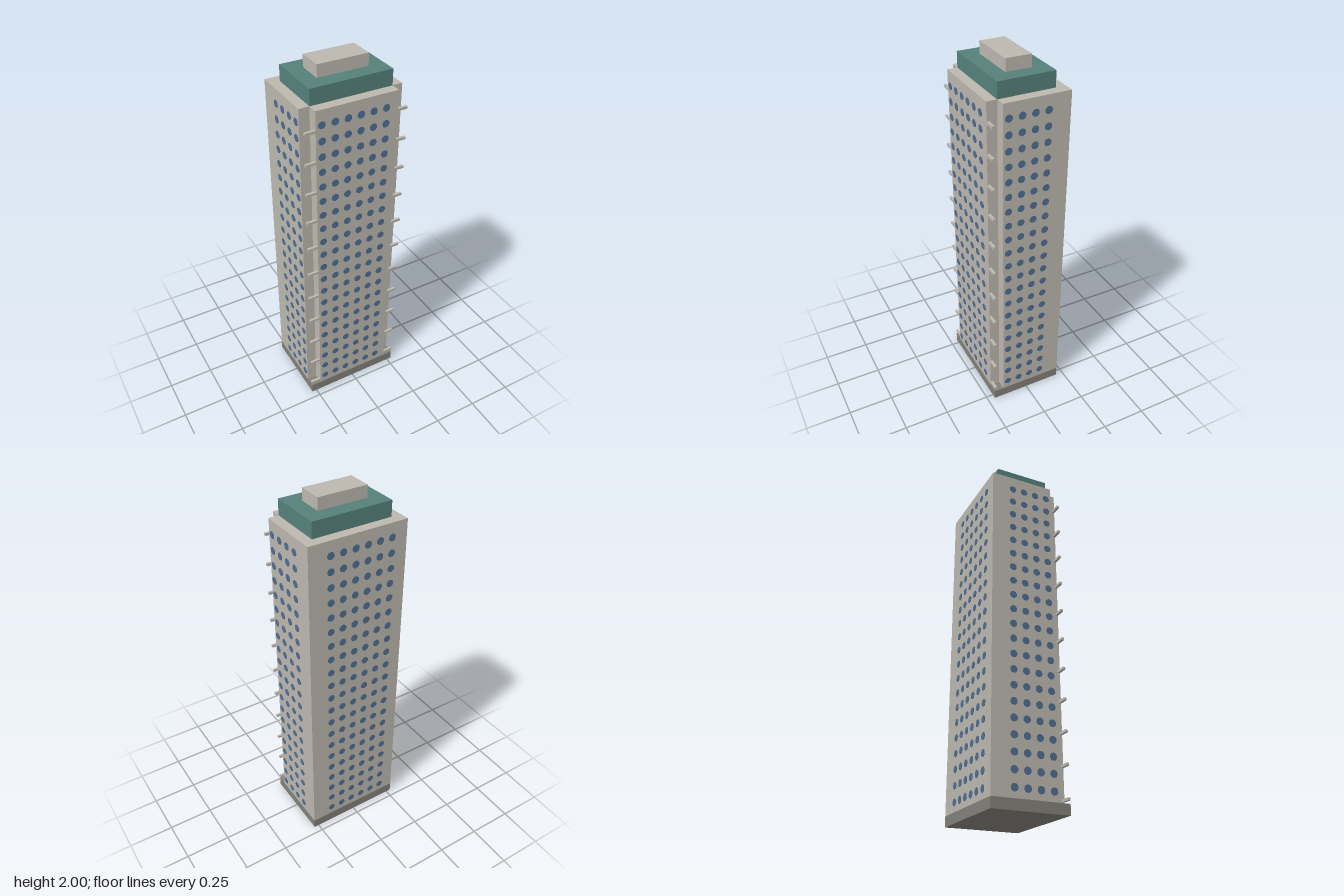
import * as THREE from 'three';

const material = (name, color) => {
  const m = new THREE.MeshStandardMaterial({ color });
  m.name = name;
  return m;
};

export function createModel() {
  const concrete = material('concrete', 0xbbb7ae);
  const stone = material('darkStone', 0x827f78);
  const teal = material('tealCladding', 0x55807b);
  const glass = material('blueGlass', 0x4f6d91);

  const tower = new THREE.Group();
  tower.name = 'tower';

  // Box given by its lower and upper corners
  const block = (name, mat, [x0, y0, z0], [x1, y1, z1], parent = tower) => {
    const mesh = new THREE.Mesh(new THREE.BoxGeometry(x1 - x0, y1 - y0, z1 - z0), mat);
    mesh.position.set((x0 + x1) / 2, (y0 + y1) / 2, (z0 + z1) / 2);
    mesh.name = name;
    parent.add(mesh);
  };

  const W = 0.278, D = 0.208, bayX = 0.222, bayZ = 0.152, baseTop = 0.055, roof = 1.85;
  block('base', stone, [-W, 0, -D], [W, baseTop, D]);

  // Shaft with both front corners notched out, extruded upward
  const plan = new THREE.Shape([
    [-W, D], [W, D], [W, -bayZ], [bayX, -bayZ], [bayX, -D],
    [-bayX, -D], [-bayX, -bayZ], [-W, -bayZ],
  ].map(([x, y]) => new THREE.Vector2(x, y)));
  const shaftGeometry = new THREE.ExtrudeGeometry(plan, { depth: roof - baseTop, bevelEnabled: false });
  shaftGeometry.rotateX(-Math.PI / 2);
  const shaft = new THREE.Mesh(shaftGeometry, concrete);
  shaft.position.y = baseTop;
  shaft.name = 'shaft';
  tower.add(shaft);

  // Stepped crown
  block('crown', teal, [-bayX, roof, -0.153], [bayX, 1.935, 0.153]);
  block('roofBox', concrete, [-0.138, 1.935, -0.069], [0.138, 2, 0.069]);

  // Balcony rails across the corner notches
  const rails = new THREE.Group();
  rails.name = 'balconyRails';
  tower.add(rails);
  for (let i = 0; i < 11; i++) {
    const y = 0.078 + i * 0.1667;
    block('leftRail', concrete, [0.217, y - 0.007, 0.194], [W, y + 0.007, D], rails);
    block('rightRail', concrete, [-W, y - 0.007, 0.194], [-0.217, y + 0.007, D], rails);
  }

  // Round windows: thin discs on all four sides
  const windows = new THREE.Group();
  windows.name = 'windows';
  tower.add(windows);
  const disc = new THREE.CylinderGeometry(0.02, 0.02, 0.004, 10).rotateX(Math.PI / 2);
  const addWindow = (name, x, y, z, turn) => {
    const mesh = new THREE.Mesh(disc, glass);
    mesh.position.set(x, y, z);
    mesh.rotation.y = turn;
    mesh.name = name;
    windows.add(mesh);
  };
  for (let row = 0; row < 21; row++) {
    const y = 0.105 + row * 0.0834;
    for (let c = 0; c < 6; c++) {
      const x = -0.19 + c * 0.0693;
      addWindow('frontWindow', x, y, D, 0);
      addWindow('backWindow', x, y, -D, Math.PI);
    }
    for (let c = 0; c < 4; c++) {
      const z = -0.087 + c * 0.0698;
      addWindow('leftWindow', W, y, z, Math.PI / 2);
      addWindow('rightWindow', -W, y, z, -Math.PI / 2);
    }
  }
  return tower;
}
